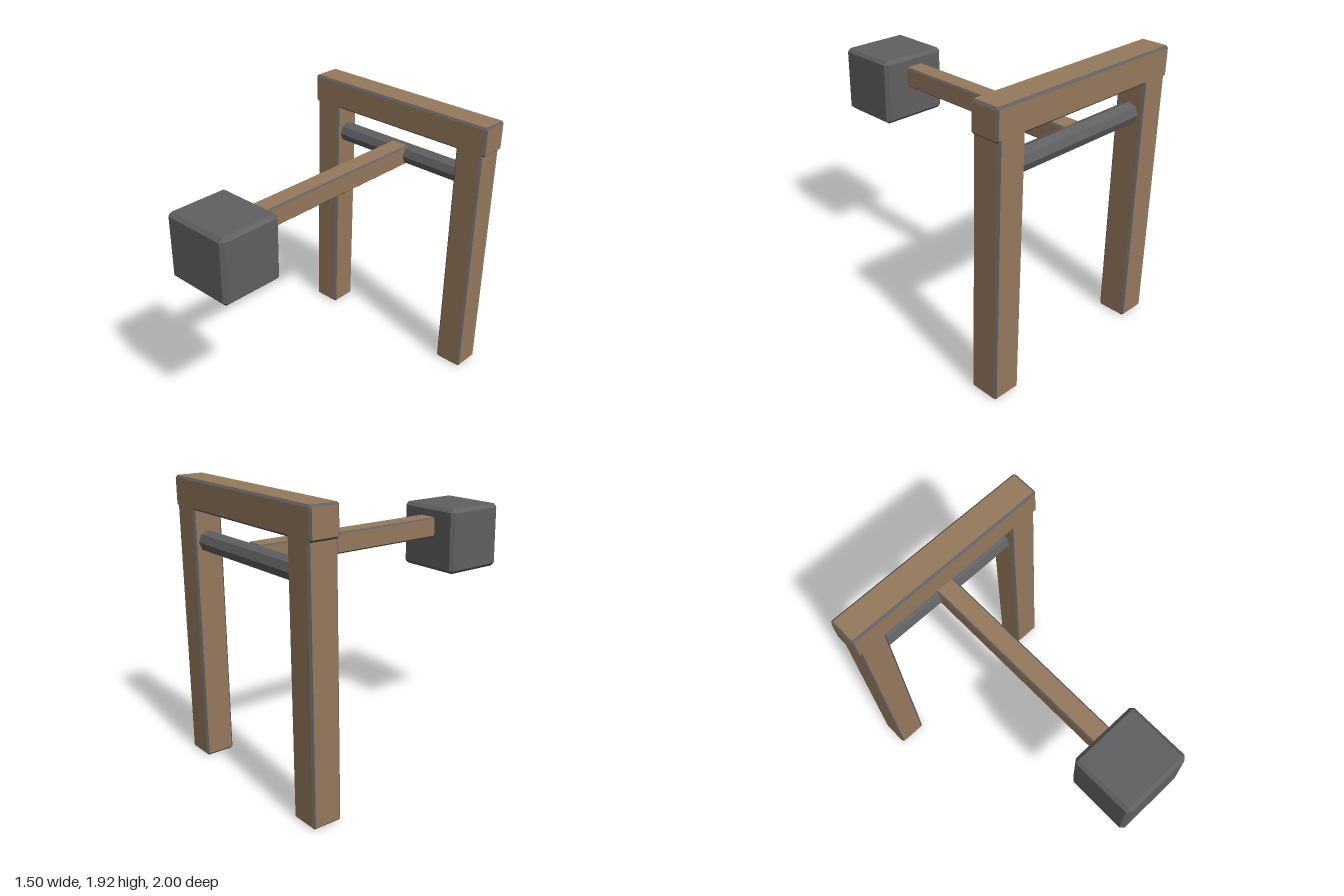
import * as THREE from 'three';

const wood = new THREE.MeshStandardMaterial({ name: 'wood', color: 0x95795c });
const iron = new THREE.MeshStandardMaterial({ name: 'iron', color: 0x606062 });

// Chamfered box between two corners: group 0 = flat sides, group 1 = chamfers
function chamferBox(min, max, bevel) {
  const centre = min.map((v, i) => (v + max[i]) / 2);
  const half = min.map((v, i) => (max[i] - v) / 2);
  const buckets = [[], []];
  const signs = [-1, 1];
  for (const x of [-1, 0, 1]) for (const y of [-1, 0, 1]) for (const z of [-1, 0, 1]) {
    const dir = [x, y, z];
    const axes = [0, 1, 2].filter((i) => dir[i] !== 0);
    if (!axes.length) continue;
    // Corner points that belong to the face looking along dir
    const points = [];
    for (const sx of signs) for (const sy of signs) for (const sz of signs) {
      const s = [sx, sy, sz];
      if (axes.some((i) => s[i] !== dir[i])) continue;
      for (const k of axes) {
        points.push(new THREE.Vector3(...s.map((v, i) => v * (half[i] - (i === k ? 0 : bevel)))));
      }
    }
    // Sort them counter-clockwise about the face normal
    const n = new THREE.Vector3(...dir).normalize();
    const mid = points.reduce((sum, p) => sum.add(p), new THREE.Vector3()).divideScalar(points.length);
    const u = points[0].clone().sub(mid).normalize();
    const v = n.clone().cross(u);
    const angle = (p) => {
      const d = p.clone().sub(mid);
      return Math.atan2(d.dot(v), d.dot(u));
    };
    points.sort((a, b) => angle(a) - angle(b));
    const bucket = buckets[axes.length === 1 ? 0 : 1];
    for (let i = 1; i < points.length - 1; i++) {
      for (const p of [points[0], points[i], points[i + 1]]) bucket.push(p.x, p.y, p.z);
    }
  }
  const geometry = new THREE.BufferGeometry();
  geometry.setAttribute('position', new THREE.Float32BufferAttribute(buckets.flat(), 3));
  geometry.addGroup(0, buckets[0].length / 3, 0);
  geometry.addGroup(buckets[0].length / 3, buckets[1].length / 3, 1);
  geometry.translate(...centre);
  geometry.computeVertexNormals();
  return geometry;
}

export function createModel() {
  const model = new THREE.Group();
  model.name = 'hammerFrame';
  const add = (name, geometry, material) => {
    const mesh = new THREE.Mesh(geometry, material);
    mesh.name = name;
    model.add(mesh);
    return mesh;
  };
  const trimmedWood = [wood, iron];

  // Posts run up into the beam
  add('leftPost', chamferBox([0.525, 0, -1], [0.728, 1.83, -0.797], 0.014), trimmedWood);
  add('rightPost', chamferBox([-0.728, 0, -1], [-0.525, 1.83, -0.797], 0.014), trimmedWood);
  add('topBeam', chamferBox([-0.748, 1.715, -1], [0.748, 1.917, -0.797], 0.014), trimmedWood);

  // Octagonal axle between the posts
  const axle = new THREE.CylinderGeometry(0.072, 0.072, 1.14, 8).toNonIndexed();
  axle.rotateZ(Math.PI / 2);
  axle.computeVertexNormals();
  axle.translate(0, 1.505, -0.9);
  add('axle', axle, iron);

  // Hammer arm and head
  add('handle', chamferBox([-0.07, 1.435, -0.885], [0.07, 1.575, 0.6], 0.01), trimmedWood);
  add('hammerHead', chamferBox([-0.25, 1.193, 0.546], [0.25, 1.648, 1], 0.024), [iron, iron]);

  return model;
}
